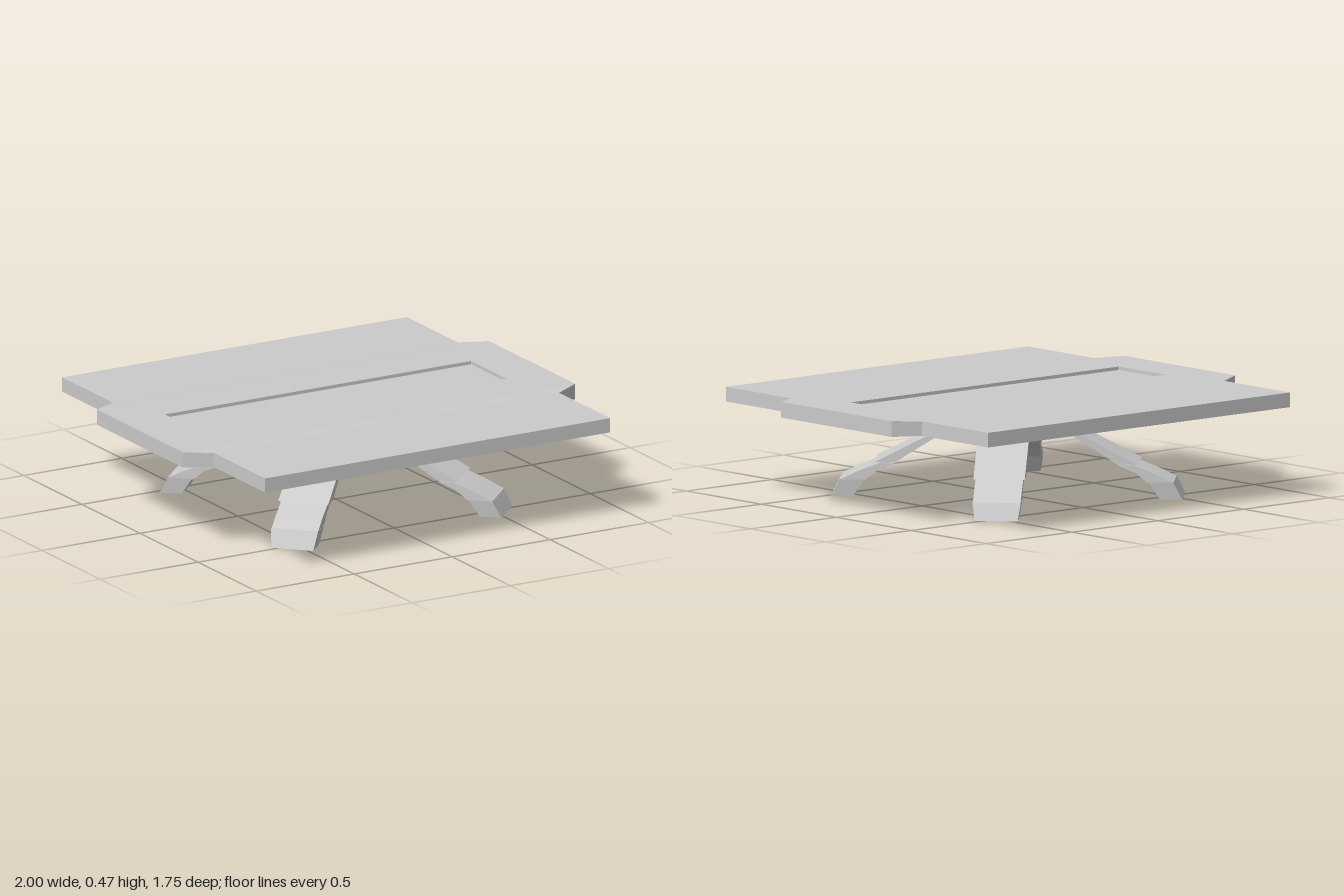
import * as THREE from 'three';
import { toCreasedNormals } from 'three/addons/utils/BufferGeometryUtils.js';

const grey = new THREE.MeshStandardMaterial({ color: 0xcccccc });

// Skin a list of equal-length rings (counter-clockwise seen from the end) and cap both ends.
function loft(rings, crease = 0.3) {
  const pos = [];
  const tri = (...p) => p.forEach((v) => pos.push(...v));
  const n = rings[0].length;
  for (let k = 0; k + 1 < rings.length; k++) {
    const a = rings[k], b = rings[k + 1];
    for (let i = 0; i < n; i++) {
      const j = (i + 1) % n;
      tri(a[i], a[j], b[j]);
      tri(a[i], b[j], b[i]);
    }
  }
  const first = rings[0], last = rings[rings.length - 1];
  for (let i = 1; i + 1 < n; i++) {
    tri(first[0], first[i + 1], first[i]);
    tri(last[0], last[i], last[i + 1]);
  }
  const geo = new THREE.BufferGeometry();
  geo.setAttribute('position', new THREE.Float32BufferAttribute(pos, 3));
  return toCreasedNormals(geo, crease);
}

function add(parent, name, geo) {
  const mesh = new THREE.Mesh(geo, grey);
  mesh.name = name;
  parent.add(mesh);
  return mesh;
}

// Leg section from its upper/outer and lower/inner edge, each [radius, height], and its width.
const legRing = ([r1, y1], [r2, y2], w) => [
  [r1, y1, -w / 2], [r1, y1, w / 2], [r2, y2, w / 2], [r2, y2, -w / 2],
];

// Octagon with short half-side a and reach b at height y.
const octagon = (a, b, y) => [
  [a, y, b], [b, y, a], [b, y, -a], [a, y, -b],
  [-a, y, -b], [-b, y, -a], [-b, y, a], [-a, y, b],
];

// Rectangle at height y.
const rect = (x, z, y) => [[x, y, z], [x, y, -z], [-x, y, -z], [-x, y, z]];

// Cross-section of the top at depth z.
const slab = (x, y0, y1, z) => [[x, y0, z], [x, y1, z], [-x, y1, z], [-x, y0, z]];

function createTabletop() {
  const top = new THREE.Group();
  top.name = 'tabletop';

  // Centre panel with a long shallow recess
  const shape = new THREE.Shape();
  shape.moveTo(-1, -0.37).lineTo(1, -0.37).lineTo(1, 0.37).lineTo(-1, 0.37).closePath();
  const hole = new THREE.Path();
  hole.moveTo(-0.78, -0.155).lineTo(-0.78, 0.155).lineTo(0.78, 0.155).lineTo(0.78, -0.155).closePath();
  shape.holes.push(hole);
  const panel = new THREE.ExtrudeGeometry(shape, { depth: 0.07, bevelEnabled: false });
  panel.rotateX(-Math.PI / 2).translate(0, 0.4, 0);
  add(top, 'centrePanel', panel);
  const floor = new THREE.BoxGeometry(1.56, 0.055, 0.31);
  add(top, 'recessFloor', floor.translate(0, 0.4275, 0));

  // Narrower wings at front and back, chamfered into the centre panel
  for (const turn of [0, Math.PI]) {
    const wing = loft([
      slab(1, 0.4, 0.47, 0.37),
      slab(0.88, 0.4, 0.465, 0.435),
      slab(0.88, 0.4, 0.465, 0.875),
    ], 0.05);
    add(top, turn ? 'backWing' : 'frontWing', wing).rotation.y = turn;
  }

  // Shallow swelling underneath
  add(top, 'underside', loft([rect(0.33, 0.22, 0.389), rect(0.88, 0.4, 0.401)], 0.001));
  return top;
}

function createLeg() {
  const leg = new THREE.Group();
  leg.name = 'leg';
  // Thick upper part ending in a level ledge
  add(leg, 'upperLeg', loft([
    legRing([0.2, 0.345], [0.2, 0.3], 0.224),
    legRing([0.283, 0.307], [0.283, 0.285], 0.226),
    legRing([0.58, 0.155], [0.49, 0.155], 0.226),
  ], 0.1));
  // Slimmer lower part
  add(leg, 'lowerLeg', loft([
    legRing([0.5, 0.19], [0.46, 0.17], 0.2),
    legRing([0.56, 0.15], [0.5, 0.145], 0.21),
    legRing([0.65, 0.115], [0.57, 0.115], 0.21),
    legRing([0.734, 0.074], [0.62, 0.074], 0.21),
  ], 0.1));
  // Splayed foot
  add(leg, 'foot', loft([
    legRing([0.734, 0.076], [0.625, 0.076], 0.212),
    legRing([0.774, 0], [0.675, 0], 0.19),
  ], 0.1));
  return leg;
}

export function createModel() {
  const model = new THREE.Group();
  model.name = 'table';
  model.add(createTabletop());

  // Domed hub with a hollow underside
  add(model, 'hub', loft([
    octagon(0.05, 0.12, 0.315),
    octagon(0.12, 0.28, 0.285),
    octagon(0.123, 0.283, 0.307),
    octagon(0.123, 0.265, 0.33),
    octagon(0.12, 0.225, 0.358),
    octagon(0.115, 0.17, 0.38),
    octagon(0.11, 0.115, 0.391),
  ], 0.6));
  const boss = new THREE.BoxGeometry(0.09, 0.03, 0.09);
  add(model, 'hubBoss', boss.translate(0, 0.305, 0));

  // Four legs on the diagonals
  for (let i = 0; i < 4; i++) {
    const leg = createLeg();
    leg.rotation.y = Math.PI / 4 + (i * Math.PI) / 2;
    model.add(leg);
  }
  return model;
}
